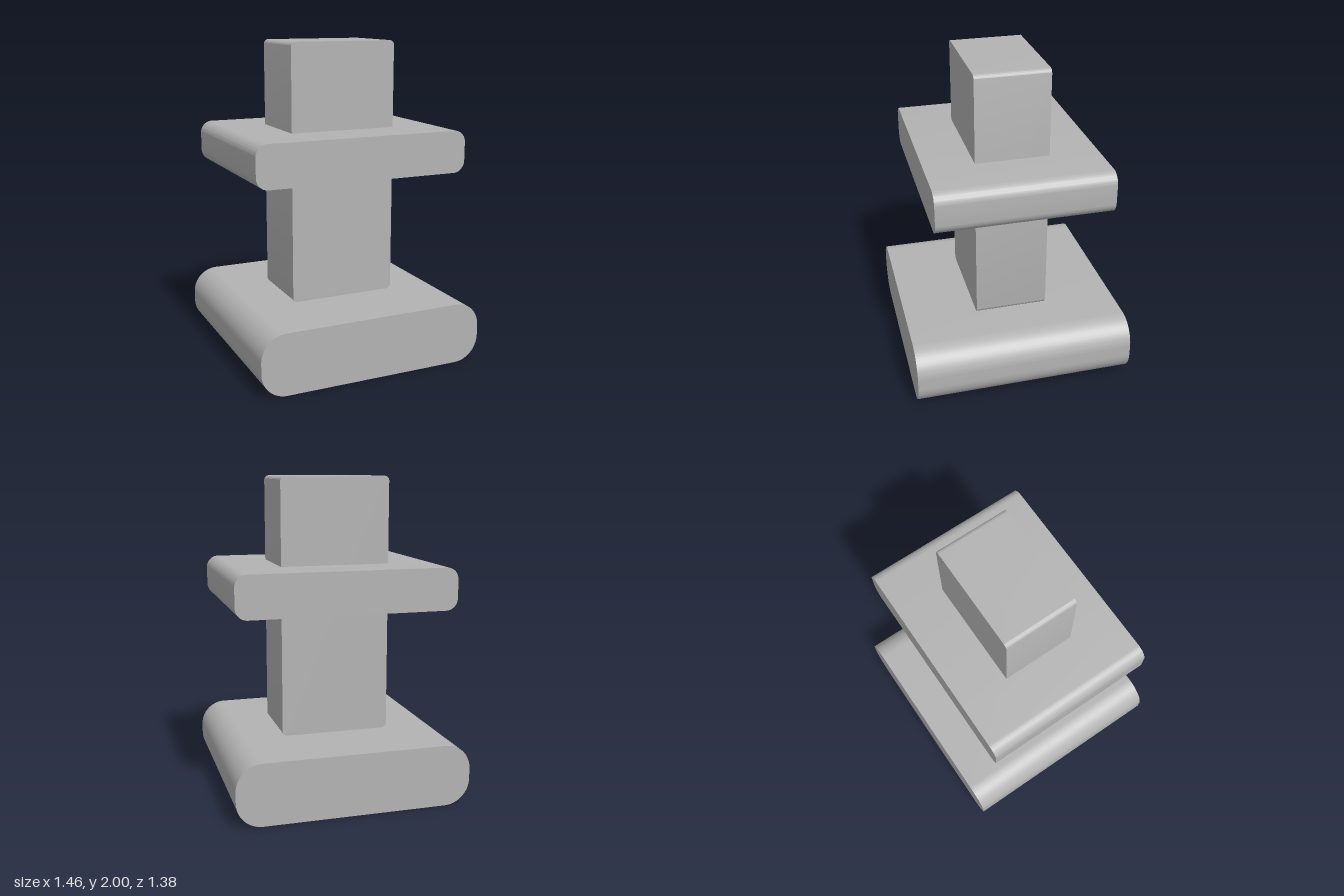
import * as THREE from 'three';
import { toCreasedNormals } from 'three/addons/utils/BufferGeometryUtils.js';

// Block with its four front-profile corners rounded, extruded along z.
function roundedBlock(width, bottom, top, depth, radius) {
  const x = width / 2 - radius;
  const low = bottom + radius;
  const high = top - radius;
  const shape = new THREE.Shape();
  shape.absarc(x, low, radius, -Math.PI / 2, 0);
  shape.absarc(x, high, radius, 0, Math.PI / 2);
  shape.absarc(-x, high, radius, Math.PI / 2, Math.PI);
  shape.absarc(-x, low, radius, Math.PI, Math.PI * 1.5);
  shape.closePath();
  const geometry = new THREE.ExtrudeGeometry(shape, { depth, bevelEnabled: false, curveSegments: 16 });
  geometry.translate(0, 0, -depth / 2);
  return toCreasedNormals(geometry, 0.5);
}

export function createModel() {
  const model = new THREE.Group();
  model.name = 'pedestal';
  const grey = new THREE.MeshStandardMaterial({ color: 0xb3b3b3 });
  grey.name = 'light grey';

  // name, width, bottom, top, depth, corner radius
  const parts = [
    ['base', 1.46, 0, 0.385, 1.375, 0.16],
    ['column', 0.69, 0.385, 2, 0.46, 0.03],
    ['collar', 1.375, 1.193, 1.457, 1.075, 0.075],
  ];
  for (const [name, ...size] of parts) {
    const mesh = new THREE.Mesh(roundedBlock(...size), grey);
    mesh.name = name;
    model.add(mesh);
  }
  return model;
}
